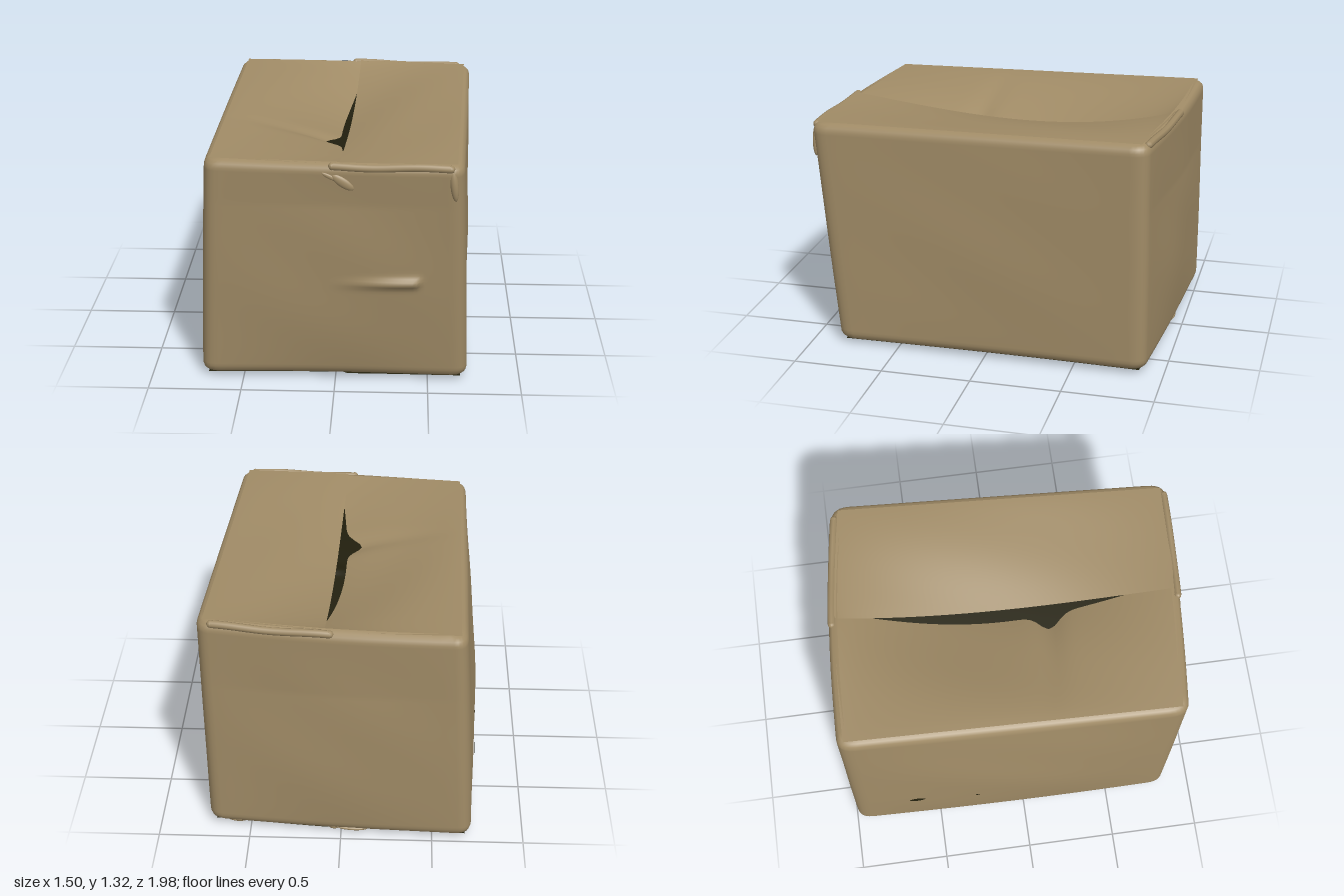
import * as THREE from 'three';
import { mergeVertices } from 'three/addons/utils/BufferGeometryUtils.js';

const { lerp, clamp, smoothstep } = THREE.MathUtils;
const card = new THREE.MeshStandardMaterial({ color: 0xa08b66 });
card.name = 'cardboard';
const inside = new THREE.MeshStandardMaterial({ color: 0x26230f, side: THREE.BackSide });
inside.name = 'dark interior';
const hole = new THREE.MeshStandardMaterial({ color: 0x26230f, side: THREE.DoubleSide });
hole.name = 'dark hole';

// Box corners [x, z], in order back -x, front -x, front +x, back +x
const low = [[-0.715, -0.995], [-0.73, 0.845], [0.715, 0.845], [0.73, -0.9]];
const high = [[-0.65, -0.995], [-0.685, 0.89], [0.665, 0.985], [0.755, -0.885]];
const bulge = [0.045, 0.035, 0.012, 0.03];
const rimBulge = [0, 0.02, 0, 0.03];

const topY = (x, z) => 1.291 - 0.022 * z + 0.008 * x;
const bottomY = (x, z) => 0.025 + 0.006 * Math.sin(3 * x + 2 * z);
const corner = (k, t) => low[k % 4].map((a, i) => lerp(a, high[k % 4][i], t));
const bump = (v, mid, width) => Math.exp(-(((v - mid) / width) ** 2));

// Outward swelling of wall k, with a pressed ridge on the front
function swell(k, s, t) {
  const belly = Math.max(bulge[k] * Math.sin(Math.PI * t ** 0.8), rimBulge[k] * t);
  const dent = 0.005 * Math.sin(9 * s + 5 * t + k * 2) * Math.sin(7 * t + k) * Math.sin(Math.PI * t);
  let out = (belly + dent) * Math.sin(Math.PI * s);
  if (k === 1) {
    const along = smoothstep(s, 0.46, 0.8) * (1 - smoothstep(s, 0.81, 0.84));
    out += 0.028 * along * bump(t, 0.458 + 0.03 * (s - 0.6), 0.021);
  }
  return out;
}

// Point on wall k, at s along it and t up it
function wall(k, s, t) {
  const a = corner(k, t), b = corner(k + 1, t);
  const dx = b[0] - a[0], dz = b[1] - a[1], len = Math.hypot(dx, dz);
  const out = swell(k, s, t) / len;
  return [lerp(a[0], b[0], s) - dz * out, lerp(a[1], b[1], s) + dx * out];
}

// Closed outline with rounded corners at height t
function ring(t) {
  const pts = [], m = 0.05;
  for (let k = 0; k < 4; k++) {
    const n = k === 1 ? 60 : 20;
    for (let i = 0; i <= n; i++) pts.push(wall(k, lerp(m, 1 - m, i / n), t));
    const a = wall(k, 1 - m, t), c = corner(k + 1, t), b = wall((k + 1) % 4, m, t);
    for (let i = 1; i < 6; i++) {
      const q = i / 6;
      pts.push([0, 1].map(j => (1 - q) ** 2 * a[j] + 2 * q * (1 - q) * c[j] + q * q * b[j]));
    }
  }
  pts.push(pts[0]);
  return pts;
}

// Smooth surface from rows of points
function surface(rows) {
  const w = rows[0].length, index = [];
  for (let j = 0; j < rows.length - 1; j++) {
    for (let i = 0; i < w - 1; i++) {
      const a = j * w + i;
      index.push(a, a + 1, a + w + 1, a, a + w + 1, a + w);
    }
  }
  let g = new THREE.BufferGeometry();
  g.setAttribute('position', new THREE.Float32BufferAttribute(rows.flat(2), 3));
  g.setIndex(index);
  g = mergeVertices(g, 1e-5);
  g.computeVertexNormals();
  return g;
}

function bodyGeometry() {
  // inset and height of each level; the first and last round the rims
  const levels = [[0.05, 0], [0.02, 0.006], [0.006, 0.018], [0, 0.035]];
  for (let i = 1; i < 70; i++) levels.push([0, lerp(0.035, 0.965, i / 70)]);
  levels.push([0, 0.965], [0.006, 0.982], [0.02, 0.994], [0.05, 1]);
  return surface(levels.map(([inset, t]) => ring(t).map(([x, z]) => {
    const px = x * (1 - inset / 0.7), pz = z * (1 - inset / 0.95);
    return [px, lerp(bottomY(x, z), topY(x, z), t), pz];
  })));
}

// One half of the lid or base; side is -1 or +1 in x
function flapGeometry(side, isTop) {
  const t = isTop ? 1 : 0, rows = [], nu = 24, nv = 56;
  const inset = ([x, z]) => [x * (1 - 0.035 / 0.7), z * (1 - 0.035 / 0.95)];
  for (let j = 0; j <= nv; j++) {
    const f = isTop ? 1 - j / nv : j / nv; // 0 at the back, 1 at the front
    const L = inset(wall(0, f, t)), R = inset(wall(2, 1 - f, t));
    const z0 = (L[1] + R[1]) / 2;
    const span = Math.max(0, Math.sin(Math.PI * f ** 0.8));
    let seam = 0.055 - 0.032 * z0;
    if (isTop && side < 0) {
      const open = Math.sin(Math.PI * clamp((z0 + 0.7) / 1.35, 0, 1));
      seam += 0.01 - 0.06 * open - 0.085 * bump(z0, 0.23, 0.07);
    }
    if (!isTop) seam = 0.02 - side * 0.012;
    const row = [];
    for (let i = 0; i <= nu; i++) {
      const u = i / nu;
      const x = side < 0 ? lerp(L[0], seam, u) : lerp(seam, R[0], u);
      const s = (x - L[0]) / (R[0] - L[0]);
      const z = lerp(L[1], R[1], s) + f * swell(1, s, t) - (1 - f) * swell(3, 1 - s, t);
      const e = side < 0 ? u : 1 - u; // 0 at the outer edge, 1 at the seam
      let y;
      if (isTop) {
        const sag = (side < 0 ? 0.15 : 0.105) * span * e ** 1.5;
        const wave = 0.006 * Math.sin(6 * x + 4 * z) * span * Math.sin(Math.PI * e);
        y = topY(x, z) + 0.002 - sag + wave - (side < 0 ? 0.008 * e : 0);
      } else {
        y = bottomY(x, z) - 0.002 + 0.02 * bump(e, 1, 0.05) - (side < 0 ? 0 : 0.008 * e);
      }
      row.push([x, y, z]);
    }
    rows.push(row);
  }
  return surface(rows);
}

export function createModel() {
  const box = new THREE.Group();
  box.name = 'cardboardBox';
  const add = (name, geometry, material = card) => {
    const mesh = new THREE.Mesh(geometry, material);
    mesh.name = name;
    box.add(mesh);
    return mesh;
  };
  const panel = (name, geometry) => {
    add(name, geometry);
    add(name + 'Interior', geometry, inside);
  };

  panel('walls', bodyGeometry());
  panel('rightTopFlap', flapGeometry(-1, true));
  panel('leftTopFlap', flapGeometry(1, true));
  panel('rightBottomFlap', flapGeometry(-1, false));
  panel('leftBottomFlap', flapGeometry(1, false));

  // Folded lips sunk into the front and back rims
  const lip = (name, k, from, to, r) => {
    const pts = [];
    for (let i = 0; i <= 16; i++) {
      const s = lerp(from, to, i / 16), [x, z] = wall(k, s, 1);
      const wobble = 0.004 * Math.sin(17 * s);
      pts.push(new THREE.Vector3(x, topY(x, z) - 0.018 + wobble, z - Math.sign(z) * 0.018));
    }
    add(name, new THREE.TubeGeometry(new THREE.CatmullRomCurve3(pts), 48, r, 8));
    for (const p of [pts[0], pts[16]]) add(name + 'End', new THREE.SphereGeometry(r, 8, 6)).position.copy(p);
  };
  lip('frontLip', 1, 0.5, 0.95, 0.021);
  lip('backLip', 3, 0.06, 0.5, 0.021);

  // Raised folds and scraps
  const lump = (name, pos, scale, turn) => {
    const m = add(name, new THREE.SphereGeometry(1, 24, 14));
    m.position.set(...pos);
    m.scale.set(...scale);
    m.rotation.z = turn;
  };
  const frontZ = (x, y) => wall(1, (x + 0.7) / 1.4, y / 1.28)[1];
  lump('tornTab', [0.045, 1.172, frontZ(0.045, 1.172)], [0.068, 0.026, 0.014], -0.6);
  lump('tornTabRoot', [-0.02, 1.2, frontZ(-0.02, 1.2)], [0.05, 0.012, 0.008], -0.45);
  lump('cornerCrease', [0.615, 1.17, frontZ(0.615, 1.17) - 0.008], [0.022, 0.09, 0.022], 0.12);
  lump('bottomScrap', [0.045, 0.025, -0.9], [0.035, 0.02, 0.03], 0.3);
  lump('bottomScrap', [-0.06, 0.028, -0.925], [0.09, 0.014, 0.025], 0.05);
  lump('bottomScrap', [0.58, 0.025, -0.86], [0.06, 0.018, 0.025], 0.1);

  // Small holes in the side
  for (const [s, w, h] of [[0.2, 0.045, 0.024], [0.39, 0.012, 0.009]]) {
    const t = 0.27, [x, z] = wall(0, s, t);
    const m = add('sideHole', new THREE.CircleGeometry(1, 12), hole);
    m.position.set(x - 0.004, lerp(0.025, topY(x, z), t), z);
    m.rotation.y = -Math.PI / 2;
    m.scale.set(w, h, 1);
  }
  return box;
}
